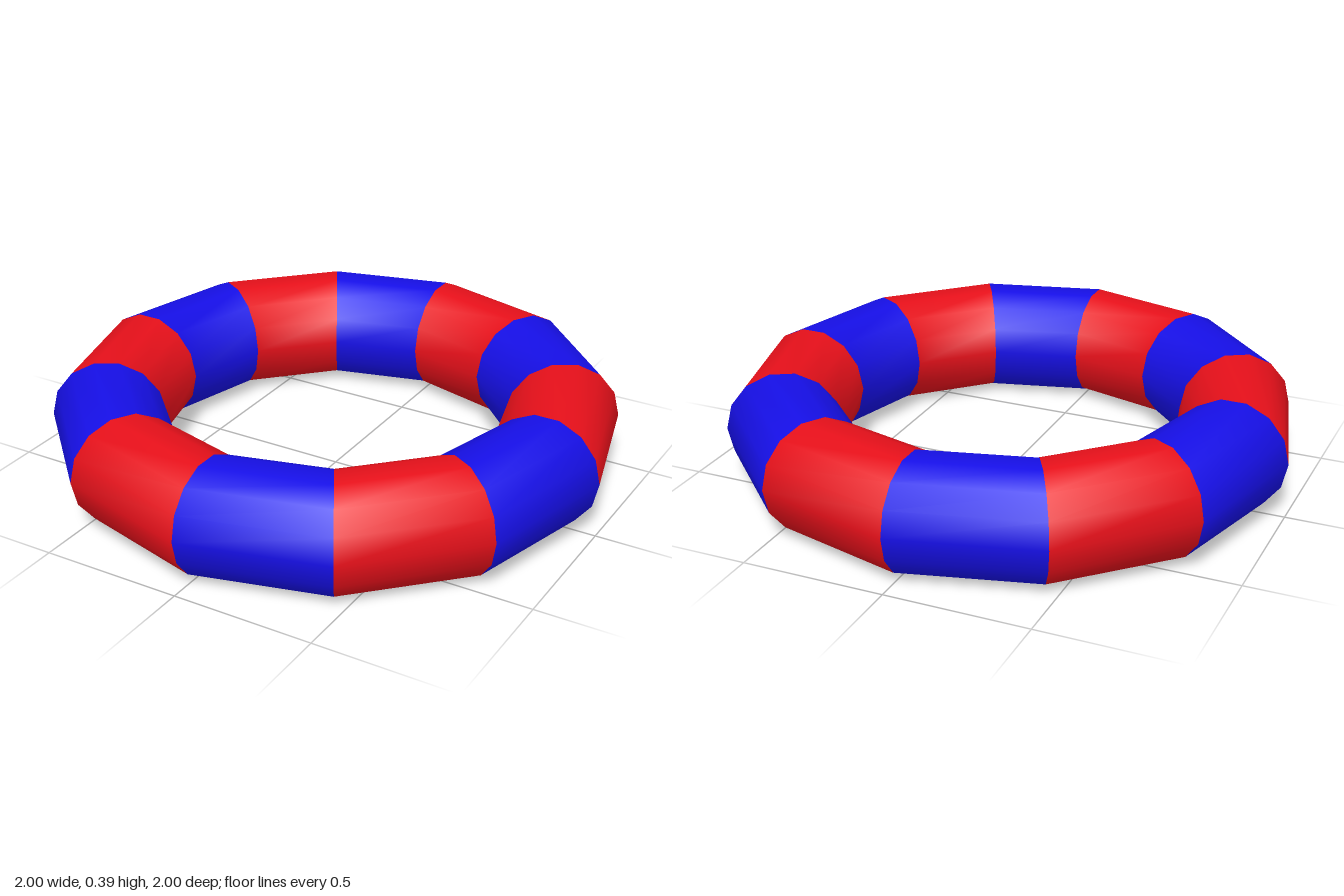
import * as THREE from 'three';

const SEGMENTS = 12;   // coloured sections around the ring
const SIDES = 14;      // sides of the tube
const RING = 0.8;
const TUBE = 0.2;

export function createModel() {
  const model = new THREE.Group();
  model.name = 'swimRing';

  const blue = new THREE.MeshStandardMaterial({ color: 0x160fe6 });
  const red = new THREE.MeshStandardMaterial({ color: 0xe6101a });

  // One straight section of the ring, laid flat, with smooth torus normals
  const step = (Math.PI * 2) / SEGMENTS;
  const section = new THREE.TorusGeometry(RING, TUBE, SIDES, 1, step);
  section.rotateX(Math.PI / 2);

  // The tube stands on its lowest pair of corners
  const height = TUBE * Math.cos(Math.PI / SIDES / 2);

  // Sections alternate in colour around the ring
  for (let i = 0; i < SEGMENTS; i++) {
    const mesh = new THREE.Mesh(section, i % 2 ? red : blue);
    mesh.name = (i % 2 ? 'redSection' : 'blueSection') + (Math.floor(i / 2) + 1);
    mesh.rotation.y = -i * step;
    mesh.position.y = height;
    model.add(mesh);
  }
  return model;
}
